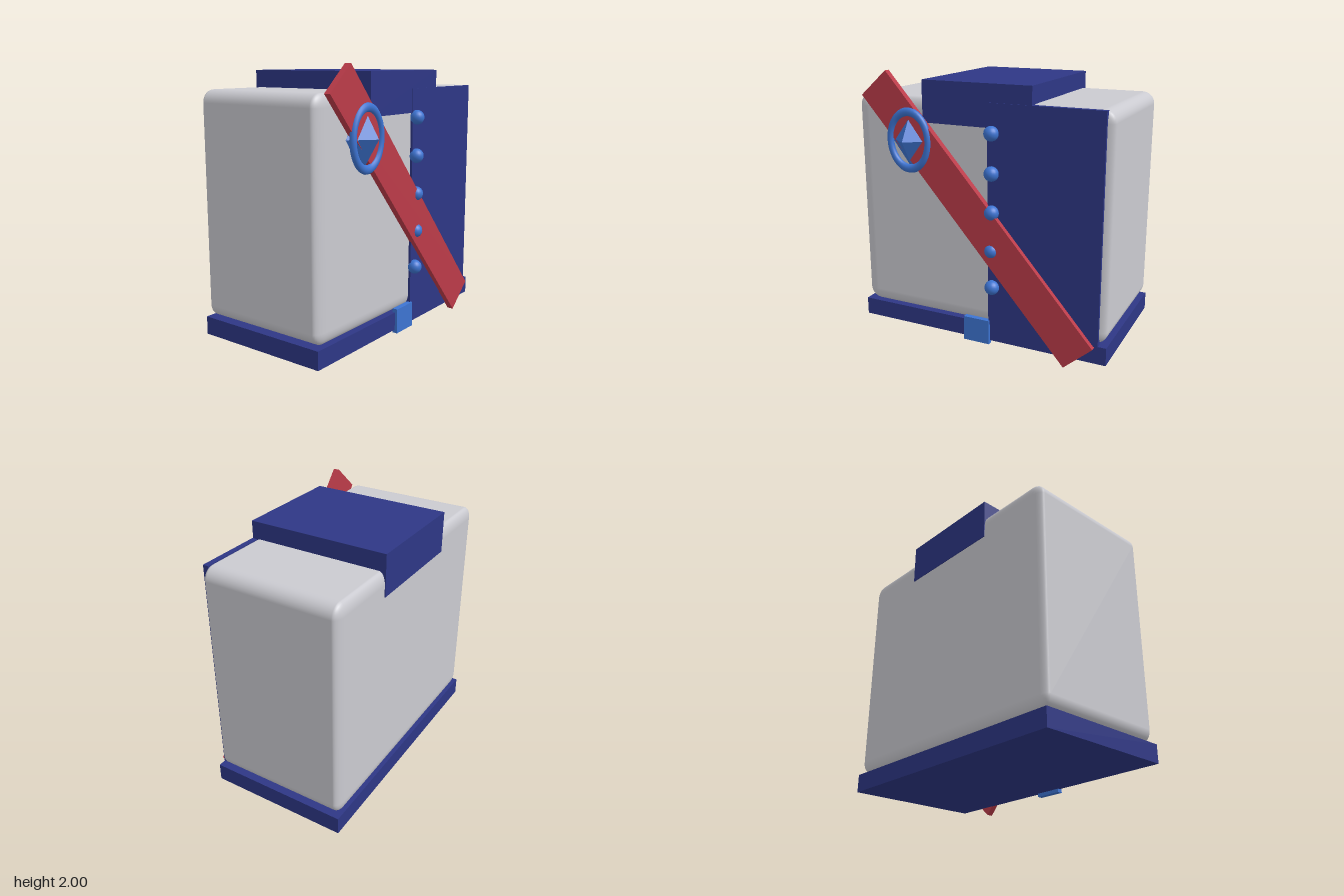
import * as THREE from 'three';
import { RoundedBoxGeometry } from 'three/addons/geometries/RoundedBoxGeometry.js';

function material(name, color) {
  const m = new THREE.MeshStandardMaterial({ color });
  m.name = name;
  return m;
}

export function createModel() {
  const grey = material('light grey', 0xcacad0);
  const navy = material('navy', 0x2e3785);
  const red = material('red', 0xbb3b49);
  const blue = material('bright blue', 0x3d74d2);
  const model = new THREE.Group();
  model.name = 'uniformTorso';

  function add(name, geometry, mat, x = 0, y = 0, z = 0) {
    const mesh = new THREE.Mesh(geometry, mat);
    mesh.name = name;
    mesh.position.set(x, y, z);
    model.add(mesh);
    return mesh;
  }

  // Box given by its extents on each axis
  function box(name, mat, [x0, x1], [y0, y1], [z0, z1]) {
    return add(name, new THREE.BoxGeometry(x1 - x0, y1 - y0, z1 - z0), mat,
      (x0 + x1) / 2, (y0 + y1) / 2, (z0 + z1) / 2);
  }

  // Torso block, its rounding squashed in depth
  const torso = new RoundedBoxGeometry(1.95, 1.62, 2.05, 4, 0.09);
  torso.scale(1, 1, 0.5);
  add('torso', torso, grey, 0, 1.01, -0.07);

  // Belt, collar and overlapping front panel
  box('belt', navy, [-0.985, 0.985], [0.065, 0.197], [-0.588, 0.455]);
  box('collar', navy, [-0.42, 0.417], [1.645, 1.945], [-0.588, 0.455]);
  box('frontPanel', navy, [0.09, 0.925], [0.195, 1.817], [0.42, 0.46]);
  box('beltBuckle', blue, [-0.105, 0.1], [0.04, 0.225], [0.435, 0.475]);

  // Diagonal sash from the right shoulder to the left hip
  const sash = add('sash', new THREE.BoxGeometry(2.411, 0.277, 0.047), red, 0, 1.002, 0.4745);
  sash.rotation.z = Math.atan2(-1.8125, 1.59);

  // Row of buttons along the panel edge
  for (let i = 0; i < 5; i++) {
    add('button', new THREE.SphereGeometry(0.053, 20, 14), blue, 0.127, 1.612 - i * 0.279, 0.473);
  }

  // Oval brooch: ring with a faceted gem
  const ring = add('broochRing', new THREE.TorusGeometry(0.155, 0.024, 12, 40), blue, -0.513, 1.515, 0.495);
  ring.scale.y = 1.32;
  const gem = add('broochGem', new THREE.OctahedronGeometry(1), blue, -0.513, 1.515, 0.45);
  gem.scale.set(0.172, 0.228, 0.138);

  return model;
}
